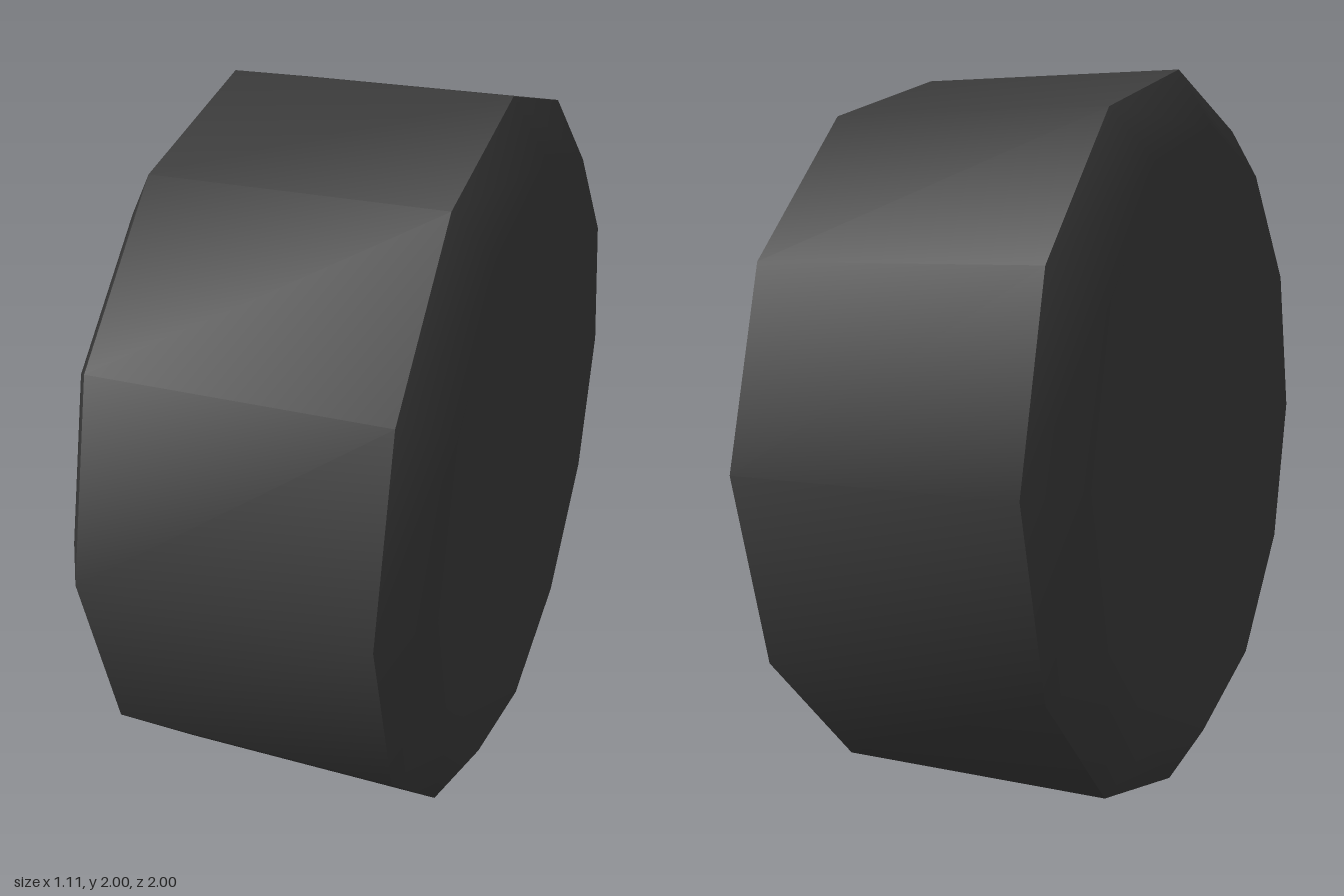
import * as THREE from 'three';
import { mergeVertices } from 'three/addons/utils/BufferGeometryUtils.js';

const SIDES = 12;

// Turn a profile of [radius, distance along the axle] pairs around the x axis,
// with shared corners so the shading is smooth right up to the hub tip
function turned(profile, turn) {
  const points = profile.map(([r, d]) => new THREE.Vector2(r, d));
  const geometry = new THREE.LatheGeometry(points, SIDES).rotateZ(turn);
  geometry.deleteAttribute('normal');
  geometry.deleteAttribute('uv');
  const merged = mergeVertices(geometry, 1e-4);
  merged.computeVertexNormals();
  return merged;
}

export function createModel() {
  const wheel = new THREE.Group();
  wheel.name = 'wheel';

  const rubber = new THREE.MeshStandardMaterial({ color: 0x3b3b3b });
  rubber.name = 'dark rubber';

  function add(name, geometry) {
    const mesh = new THREE.Mesh(geometry, rubber);
    mesh.name = name;
    mesh.position.y = 1;
    wheel.add(mesh);
  }

  // Flat running surface, smooth around the wheel with a hard edge to the sides
  add('tread', turned([[1, -0.38], [1, 0.38]], -Math.PI / 2));

  // Each side: bevelled shoulder, steep inner wall and a wide cone to the hub tip
  const side = [[1, 0.38], [0.84, 0.48], [0.69, 0.375], [0, 0.555]];
  add('leftSide', turned(side, -Math.PI / 2));
  add('rightSide', turned(side, Math.PI / 2));

  return wheel;
}
